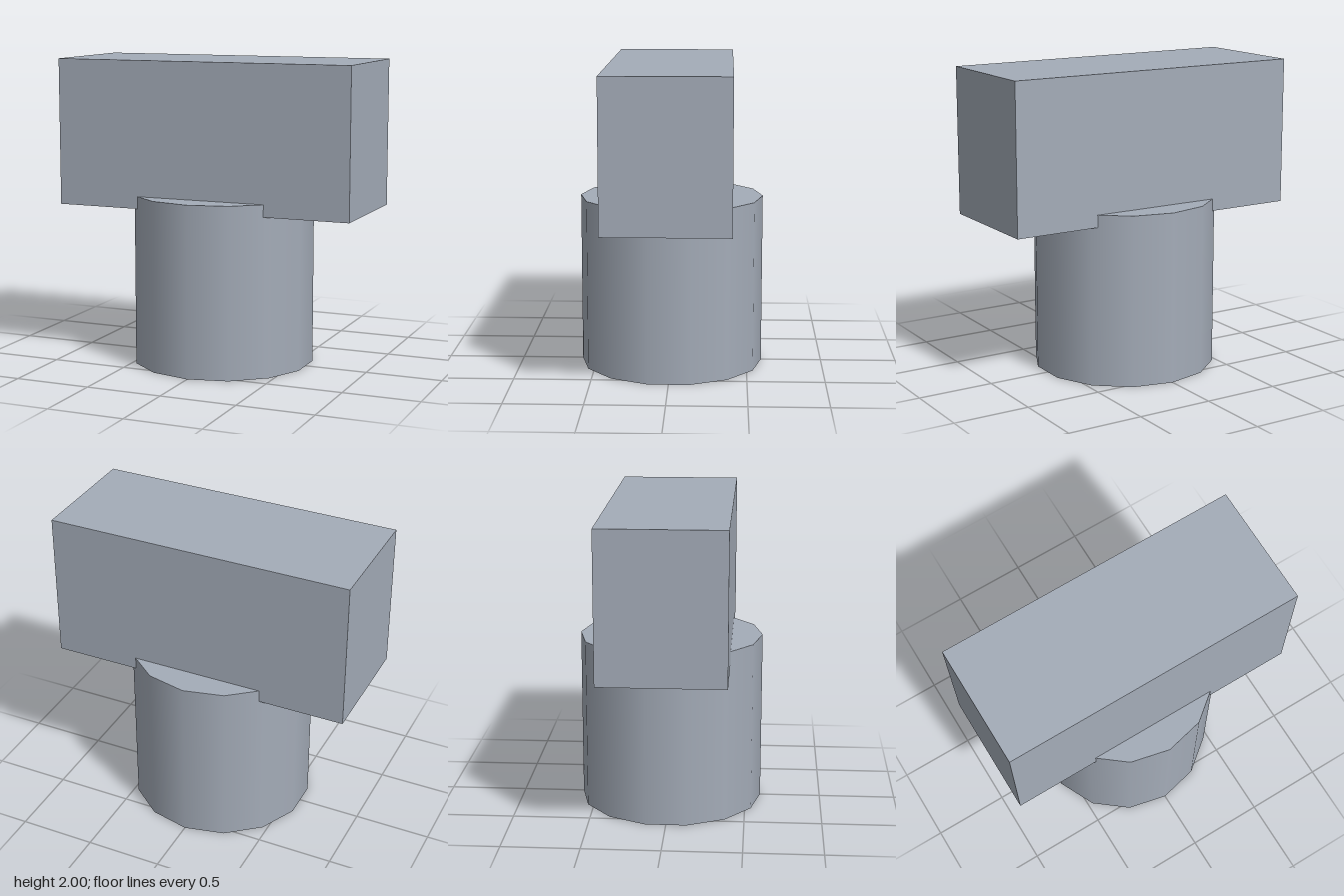
import * as THREE from 'three';

export function createModel() {
  const group = new THREE.Group();
  const steel = new THREE.MeshStandardMaterial({ color: 0xa4acb8 });
  steel.name = 'blue grey steel';

  const add = (name, geometry, bottom, height) => {
    const mesh = new THREE.Mesh(geometry, steel);
    mesh.name = name;
    mesh.position.y = bottom + height / 2;
    group.add(mesh);
  };

  // Smooth-shaded fourteen-sided handle, its top sunk into the head
  add('handle', new THREE.CylinderGeometry(0.6, 0.6, 1.12, 14), 0, 1.12);

  // Rectangular block head
  add('head', new THREE.BoxGeometry(2, 0.96, 0.8), 1.04, 0.96);

  return group;
}
